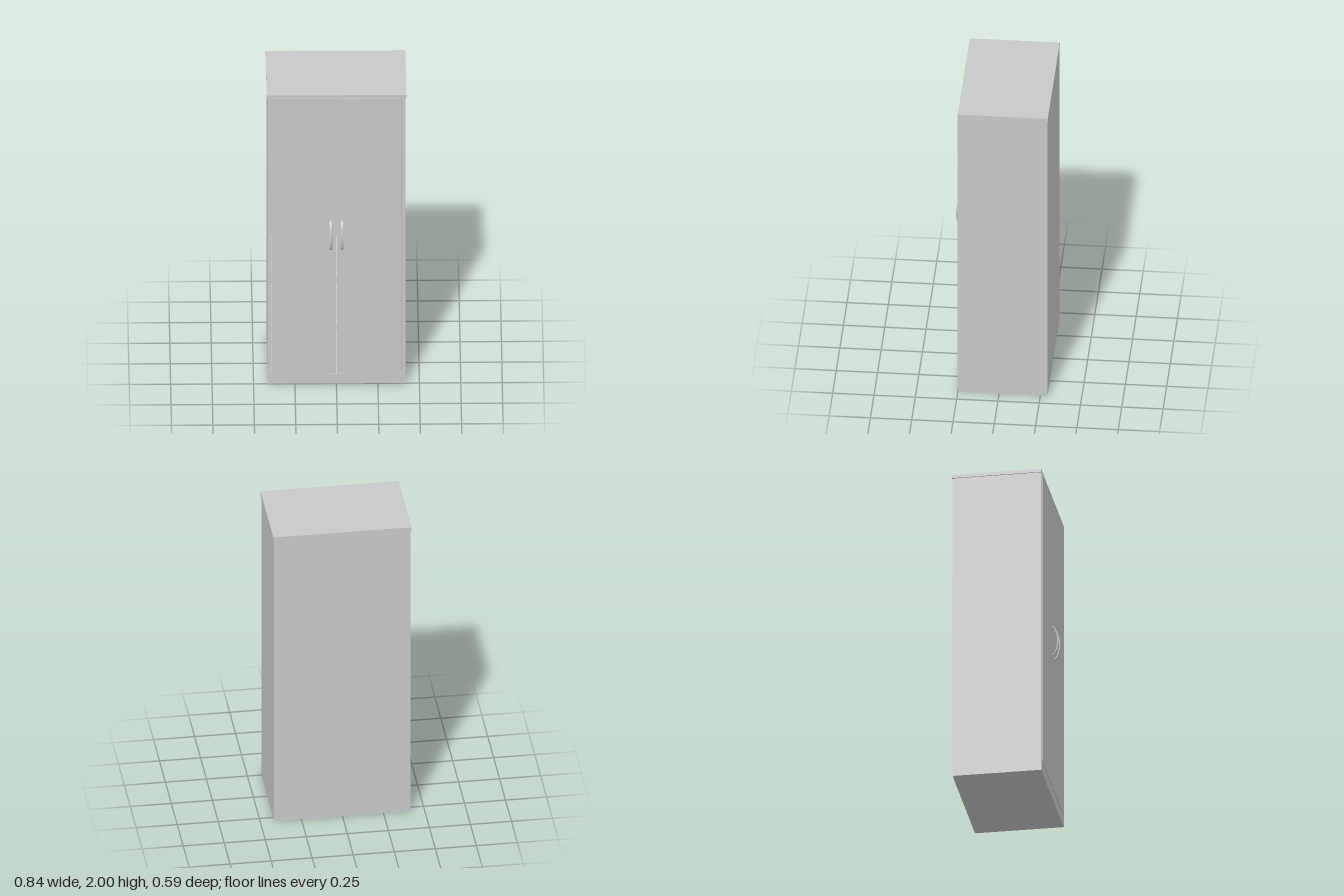
import * as THREE from 'three';

export function createModel() {
  const group = new THREE.Group();
  group.name = 'wardrobe';
  const grey = new THREE.MeshStandardMaterial({ color: 0xc8c8c8 });
  grey.name = 'light grey';

  // Box given by its lower and upper limits on each axis
  function panel(name, [x0, x1], [y0, y1], [z0, z1]) {
    const mesh = new THREE.Mesh(new THREE.BoxGeometry(x1 - x0, y1 - y0, z1 - z0), grey);
    mesh.position.set((x0 + x1) / 2, (y0 + y1) / 2, (z0 + z1) / 2);
    mesh.name = name;
    group.add(mesh);
  }

  // Carcass
  panel('topBoard', [-0.421, 0.421], [1.979, 2], [-0.295, 0.25]);
  panel('backPanel', [-0.41, 0.41], [0, 1.979], [-0.293, -0.287]);
  panel('bottomBoard', [-0.392, 0.392], [0, 0.07], [-0.287, 0.249]);

  // Interior shelves
  for (const y of [0.38, 0.71]) panel('shelf', [-0.392, 0.392], [y - 0.01, y + 0.01], [-0.287, 0.22]);

  // Hanging rail
  const rail = new THREE.Mesh(new THREE.CylinderGeometry(0.012, 0.012, 0.784, 12), grey);
  rail.name = 'hangingRail';
  rail.rotation.z = Math.PI / 2;
  rail.position.set(0, 1.86, -0.02);
  group.add(rail);

  // Bowed handle: a round tube widened into a flat oval grip
  const bow = new THREE.CatmullRomCurve3([
    [0.932, 0.25], [0.94, 0.262], [0.965, 0.277], [1.0, 0.286], [1.03, 0.288],
    [1.06, 0.286], [1.095, 0.277], [1.12, 0.262], [1.128, 0.25],
  ].map(([y, z]) => new THREE.Vector3(0, y, z)));
  const handleShape = new THREE.TubeGeometry(bow, 32, 0.005, 10).scale(1.9, 1, 1);

  // Sides, doors and handles in mirrored pairs
  for (const s of [-1, 1]) {
    const side = s > 0 ? 'left' : 'right';
    const span = (a, b) => (s > 0 ? [a, b] : [-b, -a]);
    panel(side + 'Side', span(0.391, 0.415), [0, 1.979], [-0.287, 0.25]);
    panel(side + 'Door', span(0.003, 0.389), [0.073, 1.977], [0.232, 0.253]);

    const handle = new THREE.Mesh(handleShape, grey);
    handle.name = side + 'Handle';
    handle.position.x = s * 0.034;
    group.add(handle);
  }
  return group;
}
